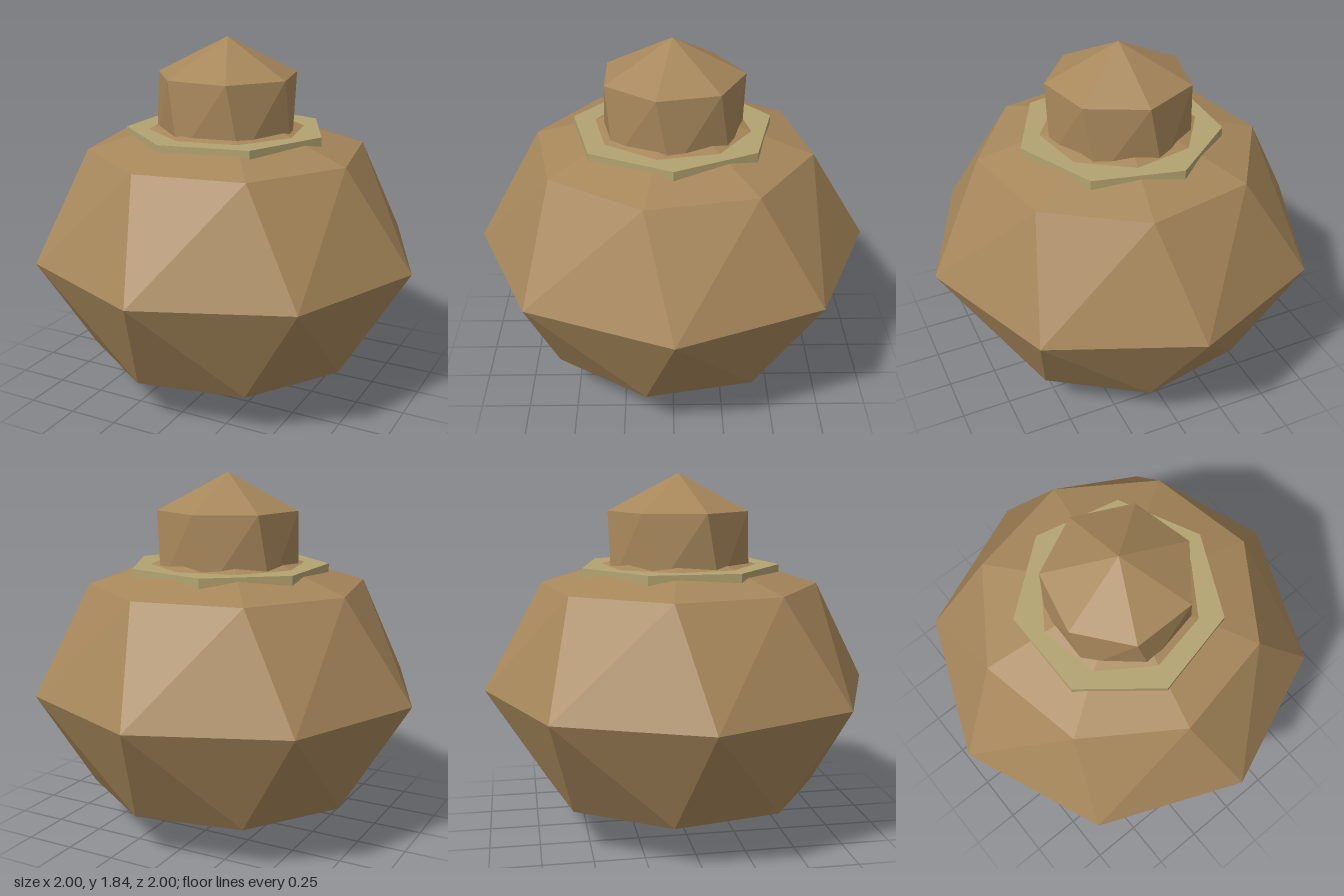
import * as THREE from 'three';

const TWIST = Math.PI / 16;

// Faceted solid: twisted rings [radius, y, angle] stacked upward between two end points.
function facetedSolid(sides, bottomY, rings, topY) {
  const step = (Math.PI * 2) / sides;
  const pos = [];
  const point = ([r, y, a], k) => [r * Math.cos(a + k * step), y, r * Math.sin(a + k * step)];
  const tri = (a, b, c) => pos.push(...a, ...b, ...c);
  const first = rings[0], last = rings[rings.length - 1];
  for (let k = 0; k < sides; k++) {
    tri([0, bottomY, 0], point(first, k), point(first, k + 1));
    for (let i = 0; i < rings.length - 1; i++) {
      const a = point(rings[i], k), b = point(rings[i], k + 1);
      const c = point(rings[i + 1], k), d = point(rings[i + 1], k + 1);
      // Split each twisted quad along its shorter diagonal so it stays convex
      if (rings[i + 1][2] > rings[i][2]) {
        tri(a, c, b);
        tri(b, c, d);
      } else {
        tri(a, d, b);
        tri(a, c, d);
      }
    }
    tri(point(last, k), [0, topY, 0], point(last, k + 1));
  }
  const geo = new THREE.BufferGeometry();
  geo.setAttribute('position', new THREE.Float32BufferAttribute(pos, 3));
  geo.computeVertexNormals();
  return geo;
}

export function createModel() {
  const group = new THREE.Group();
  const clay = new THREE.MeshStandardMaterial({ color: 0xa7875b, flatShading: true });
  clay.name = 'brown clay';
  const cord = new THREE.MeshStandardMaterial({ color: 0xb3a370, flatShading: true });
  cord.name = 'pale straw';

  const add = (name, geo, mat) => {
    const mesh = new THREE.Mesh(geo, mat);
    mesh.name = name;
    group.add(mesh);
    return mesh;
  };

  // Squat eight-sided body
  add('body', facetedSolid(8, 0, [
    [0.707, 0.22, TWIST],
    [1, 0.75, 0],
    [0.707, 1.28, TWIST],
  ], 1.5), clay);

  // Seven-sided collar, partly sunk into the shoulder
  const collar = add('collar', new THREE.CylinderGeometry(0.513, 0.513, 0.08, 7), cord);
  collar.rotation.y = Math.PI / 2;
  collar.position.y = 1.337;

  // Seven-sided stopper with a slight twist
  add('stopper', facetedSolid(7, 1.1, [
    [0.36, 1.28, -Math.PI / 2 - TWIST],
    [0.36, 1.65, -Math.PI / 2],
  ], 1.835), clay);

  return group;
}
